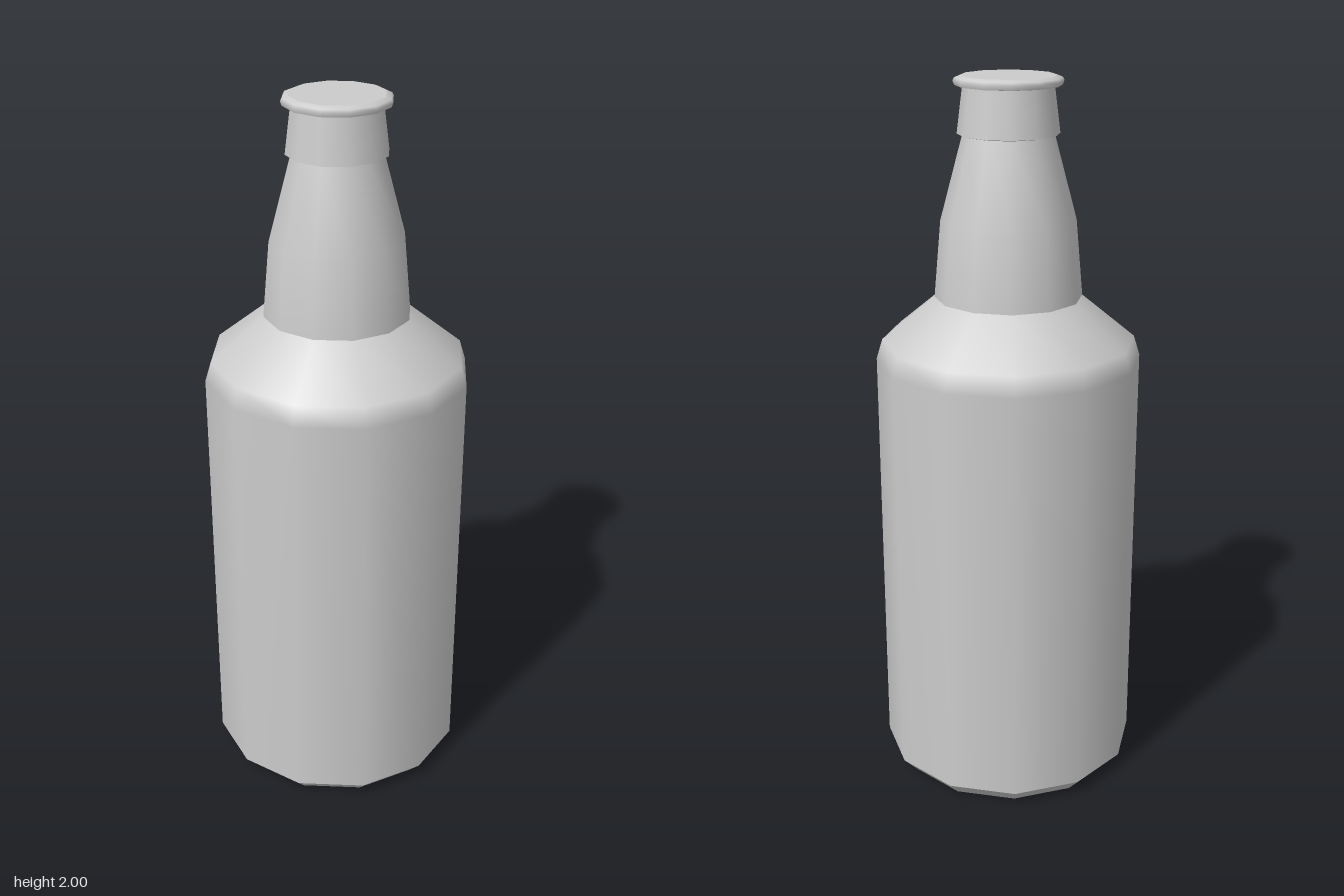
import * as THREE from 'three';

export function createModel() {
  const model = new THREE.Group();
  model.name = 'bottle';
  const material = new THREE.MeshStandardMaterial({ color: 0xcccccc });

  // Each part is a twelve-sided turned profile, listed from bottom to top;
  // separate parts keep the edges between them sharp.
  const turn = (name, profile) => {
    const points = profile.map(([r, y]) => new THREE.Vector2(r, y));
    const mesh = new THREE.Mesh(new THREE.LatheGeometry(points, 12), material);
    mesh.name = name;
    model.add(mesh);
  };

  // Base
  turn('bottom', [[0, 0], [0.325, 0]]);
  turn('baseBevel', [[0.325, 0], [0.367, 0.045]]);

  // Body with rounded shoulder
  turn('body', [[0.367, 0.045], [0.367, 1.235], [0.35, 1.29], [0.203, 1.41]]);

  // Tapering neck
  turn('neck', [[0.203, 1.41], [0.184, 1.62], [0.122, 1.85]]);

  // Collar under the cap
  turn('collarUnderside', [[0.115, 1.845], [0.137, 1.85]]);
  turn('collar', [[0.137, 1.85], [0.121, 1.975]]);

  // Cap
  turn('capUnderside', [[0.119, 1.972], [0.142, 1.975]]);
  turn('capRim', [[0.142, 1.975], [0.146, 1.986], [0.142, 1.994], [0.127, 2]]);
  turn('capTop', [[0.127, 2], [0, 2]]);

  return model;
}
